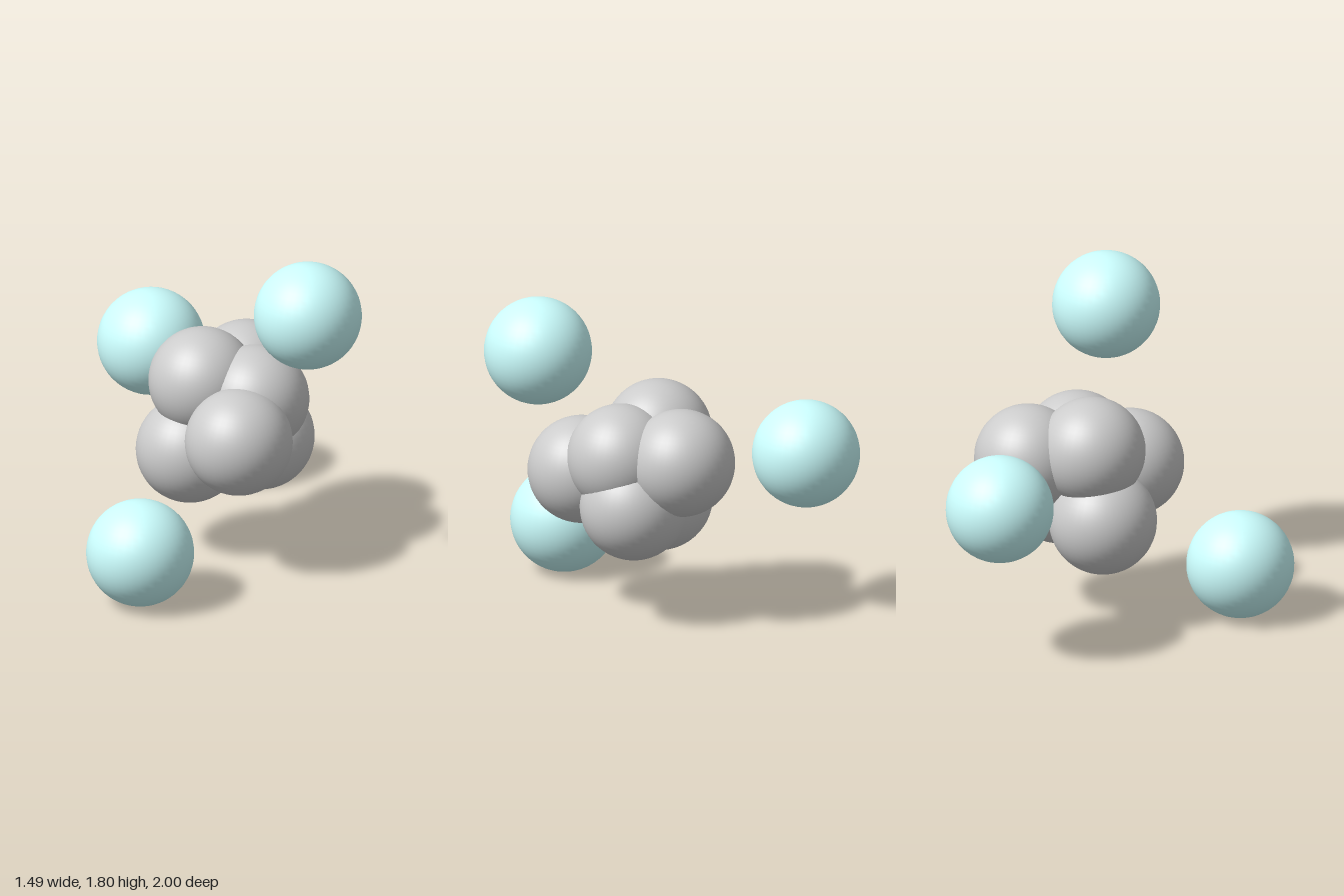
import * as THREE from 'three';

const RADIUS = 0.285;

export function createModel() {
  const model = new THREE.Group();
  const ball = new THREE.SphereGeometry(RADIUS, 40, 28);
  const grey = new THREE.MeshStandardMaterial({ color: 0xcccccc });
  const cyan = new THREE.MeshStandardMaterial({ color: 0xccffff });

  // Adds a named group of equal balls at the given centres
  function addBalls(groupName, ballName, material, centres) {
    const group = new THREE.Group();
    group.name = groupName;
    centres.forEach(([x, y, z], i) => {
      const mesh = new THREE.Mesh(ball, material);
      mesh.name = `${ballName}${i + 1}`;
      mesh.position.set(x, y, z);
      group.add(mesh);
    });
    model.add(group);
  }

  // Overlapping balls of the central cluster
  addBalls('cluster', 'clusterBall', grey, [
    [0.105, 0.765, 0.43],  // front
    [-0.035, 0.965, 0.05], // top
    [0.23, 0.9, -0.165],   // upper back
    [0.23, 0.895, 0.17],   // upper left
    [-0.105, 0.585, 0.07], // lower right
    [0.27, 0.645, 0.085],  // lower left
  ]);

  // Separate balls floating around the cluster
  addBalls('satellites', 'satelliteBall', cyan, [
    [0.455, 1.52, 0.555],
    [-0.46, 0.285, 0.715],
    [-0.2, 0.875, -0.715],
  ]);

  return model;
}
